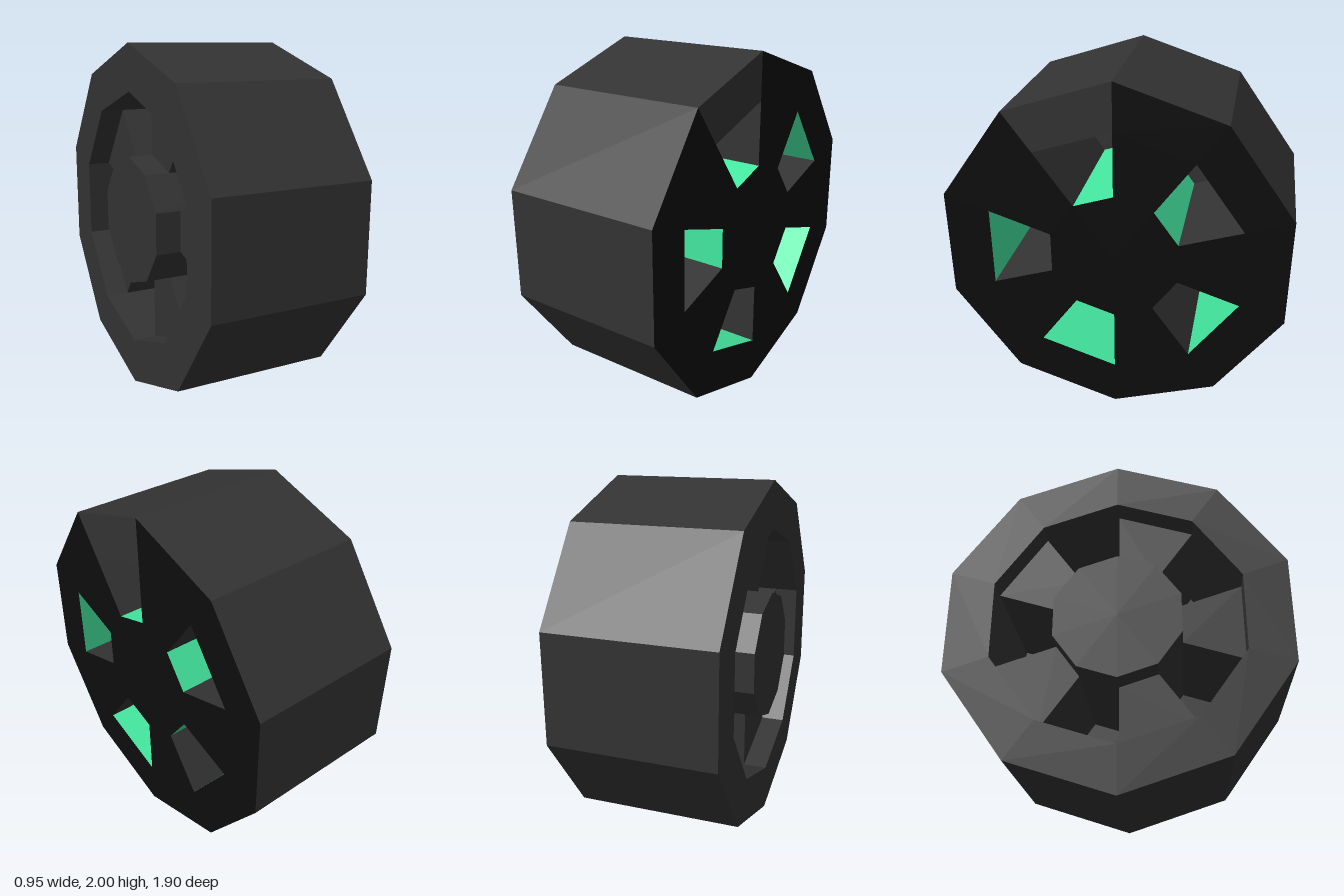
import * as THREE from 'three';

const SIDES = 10;
const R = 1, RIM = 0.735, HUB = 0.373;              // radii
const OUT = 0.475, BACK = -0.467, HUB_BACK = -0.475; // positions along the axle
const POCKET = -0.33, SPOKE_BACK = 0.465;

// Corner k of a ten-sided ring around the axle (x).
function corner(r, k, x) {
  const a = THREE.MathUtils.degToRad(18 + 36 * k);
  return [x, 1 + r * Math.sin(a), r * Math.cos(a)];
}

// Collects flat faces for one part, each a fan over its corners.
class Part {
  constructor() { this.p = []; }
  face(pts, flip) {
    const q = flip ? pts.slice().reverse() : pts;
    for (let i = 1; i < q.length - 1; i++) this.p.push(...q[0], ...q[i], ...q[i + 1]);
  }
  // Strip parallel to the axle, facing outward or inward.
  wall(r, k, x0, x1, inward) {
    this.face([corner(r, k, x0), corner(r, k, x1), corner(r, k + 1, x1), corner(r, k + 1, x0)], inward);
  }
  // Sector across the axle, facing +x or -x.
  disc(ri, ro, k, x, back) {
    const pts = [corner(ro, k + 1, x), corner(ro, k, x), corner(ri, k, x)];
    if (ri > 0) pts.push(corner(ri, k + 1, x));
    this.face(pts, back);
  }
  mesh(name, color, side = THREE.FrontSide) {
    const g = new THREE.BufferGeometry();
    g.setAttribute('position', new THREE.Float32BufferAttribute(this.p, 3));
    g.computeVertexNormals();
    const m = new THREE.Mesh(g, new THREE.MeshStandardMaterial({ color, side, flatShading: true }));
    m.name = name;
    return m;
  }
}

export function createModel() {
  const tire = new Part(), outerFace = new Part(), hub = new Part(), rim = new Part();
  const spokeWalls = new Part(), pocketFloors = new Part(), pocketLining = new Part();
  const spokeBacks = new Part();

  for (let k = 0; k < SIDES; k++) {
    const pocket = k % 2 === 1;

    // Tread and side walls; one outer sector has the tread colour
    tire.wall(R, k, BACK, OUT, false);
    tire.disc(RIM, R, k, BACK, true);
    (k === 1 ? tire : outerFace).disc(RIM, R, k, OUT, false);

    // Hub ends
    hub.disc(0, HUB, k, HUB_BACK, true);
    outerFace.disc(0, HUB, k, OUT, false);

    // Pockets open outward, channels behind the spokes open inward
    const end = pocket ? POCKET : SPOKE_BACK;
    hub.wall(HUB, k, HUB_BACK, end, false);
    rim.wall(RIM, k, BACK, end, true);
    if (pocket) {
      pocketFloors.disc(HUB, RIM, k, POCKET, false);
      pocketLining.wall(HUB, k, POCKET, OUT, false);
      pocketLining.wall(RIM, k, POCKET, OUT, true);
    } else {
      outerFace.disc(HUB, RIM, k, OUT, false);
      spokeBacks.disc(HUB, RIM, k, SPOKE_BACK, true);
    }

    // Thin radial wall between a pocket and a channel
    spokeWalls.face([corner(HUB, k, POCKET), corner(RIM, k, POCKET),
      corner(RIM, k, OUT), corner(HUB, k, OUT)]);
  }

  const grey = 0x333333, black = 0x0d0d0d, green = 0x44e8a0;
  const group = new THREE.Group();
  group.name = 'wheel';
  group.add(
    tire.mesh('tire', grey),
    outerFace.mesh('outerFace', black),
    hub.mesh('hub', grey),
    rim.mesh('innerRim', grey),
    spokeWalls.mesh('spokeWalls', grey, THREE.DoubleSide),
    spokeBacks.mesh('spokeBacks', grey),
    pocketFloors.mesh('pocketFloors', grey, THREE.DoubleSide),
    pocketLining.mesh('pocketLining', green),
  );
  return group;
}
